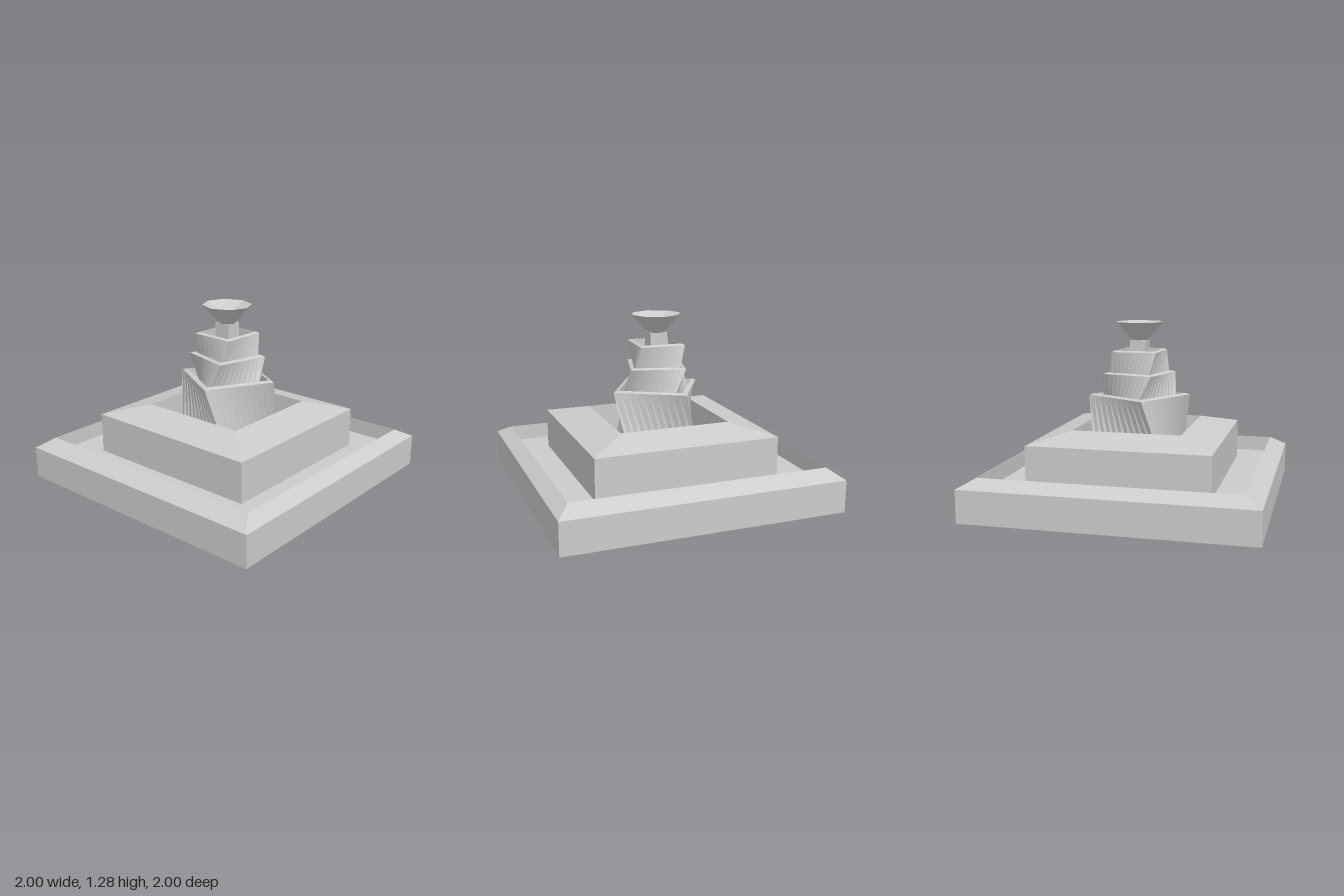
import * as THREE from 'three';

const stone = new THREE.MeshStandardMaterial({ color: 0xcccccc, flatShading: true });
const dark = new THREE.MeshStandardMaterial({ color: 0x111111 });

// Skins a list of rectangular rings [halfX, y, halfZ, twistDegrees], from the underside up and over the rim.
// Each side is divided into columns, so twisted sides are ruled by straight lines.
function ringLoft(rings, columns = 1) {
  const signs = [[1, 1], [-1, 1], [-1, -1], [1, -1]];
  const loops = rings.map(([hx, y, hz = hx, deg = 0]) => {
    const t = THREE.MathUtils.degToRad(deg), c = Math.cos(t), s = Math.sin(t);
    const loop = [];
    signs.forEach(([i, j], side) => {
      const [ni, nj] = signs[(side + 1) % 4];
      for (let k = 0; k < columns; k++) {
        const x = hx * (i + (ni - i) * k / columns);
        const z = hz * (j + (nj - j) * k / columns);
        loop.push([x * c - z * s, y, x * s + z * c]);
      }
    });
    return loop;
  });
  const pos = [];
  for (let i = 0; i < loops.length - 1; i++) {
    const low = loops[i], high = loops[i + 1];
    for (let k = 0; k < low.length; k++) {
      const n = (k + 1) % low.length;
      pos.push(...low[k], ...high[k], ...high[n], ...low[k], ...high[n], ...low[n]);
    }
  }
  const g = new THREE.BufferGeometry();
  g.setAttribute('position', new THREE.Float32BufferAttribute(pos, 3));
  g.computeVertexNormals();
  return g;
}

// Twisted square block with a thin bevelled rim around a sunken basin.
function twistedTier(half, y0, y1, deg0, deg1, rim, depth) {
  const inner = half - rim;
  return ringLoft([
    [0, y0, 0, deg0],
    [half, y0, half, deg0],
    [half, y1, half, deg1],
    [inner, y1 + 0.01, inner, deg1],
    [inner, y1 - depth, inner, deg1],
    [0, y1 - depth, 0, deg1],
  ], 10);
}

export function createModel() {
  const model = new THREE.Group();
  const add = (name, geometry, material = stone) => {
    const mesh = new THREE.Mesh(geometry, material);
    mesh.name = name;
    model.add(mesh);
    return mesh;
  };

  // Wide lower pool: recessed underside, chamfered rim, sunken floor
  add('lowerPool', ringLoft([
    [0, 0.09], [0.9, 0.09], [1, 0], [1, 0.23],
    [0.88, 0.295, 0.91], [0.88, 0.18, 0.91], [0, 0.18],
  ]));

  // Second pool: a broad sloping rim standing on the lower floor
  add('middlePool', ringLoft([
    [0.64, 0.18, 0.665], [0.64, 0.47, 0.665],
    [0.385, 0.54, 0.4], [0.385, 0.18, 0.4],
  ]));

  // Tower of three twisted basins
  add('lowerTier', twistedTier(0.26, 0.18, 0.75, 0, 30, 0.03, 0.06));
  add('middleTier', twistedTier(0.194, 0.65, 0.91, 45, 15, 0.025, 0.06));
  add('upperTier', twistedTier(0.162, 0.83, 1.07, 23, 2, 0.02, 0.09));

  // Square stem
  const stem = add('stem', new THREE.BoxGeometry(0.116, 0.18, 0.124));
  stem.position.y = 1.06;

  // Octagonal bowl with a funnel-shaped inside
  const profile = [[0, 1.148], [0.062, 1.148], [0.181, 1.28], [0.037, 1.2]];
  const bowl = add('bowl', new THREE.LatheGeometry(
    profile.map(([r, y]) => new THREE.Vector2(r, y)), 8));
  bowl.scale.x = 0.96;

  // Dark spout opening
  const spout = add('spoutOpening', new THREE.CircleGeometry(0.037, 8), dark);
  spout.rotation.x = -Math.PI / 2;
  spout.position.y = 1.2;
  spout.scale.x = 0.96;

  return model;
}
